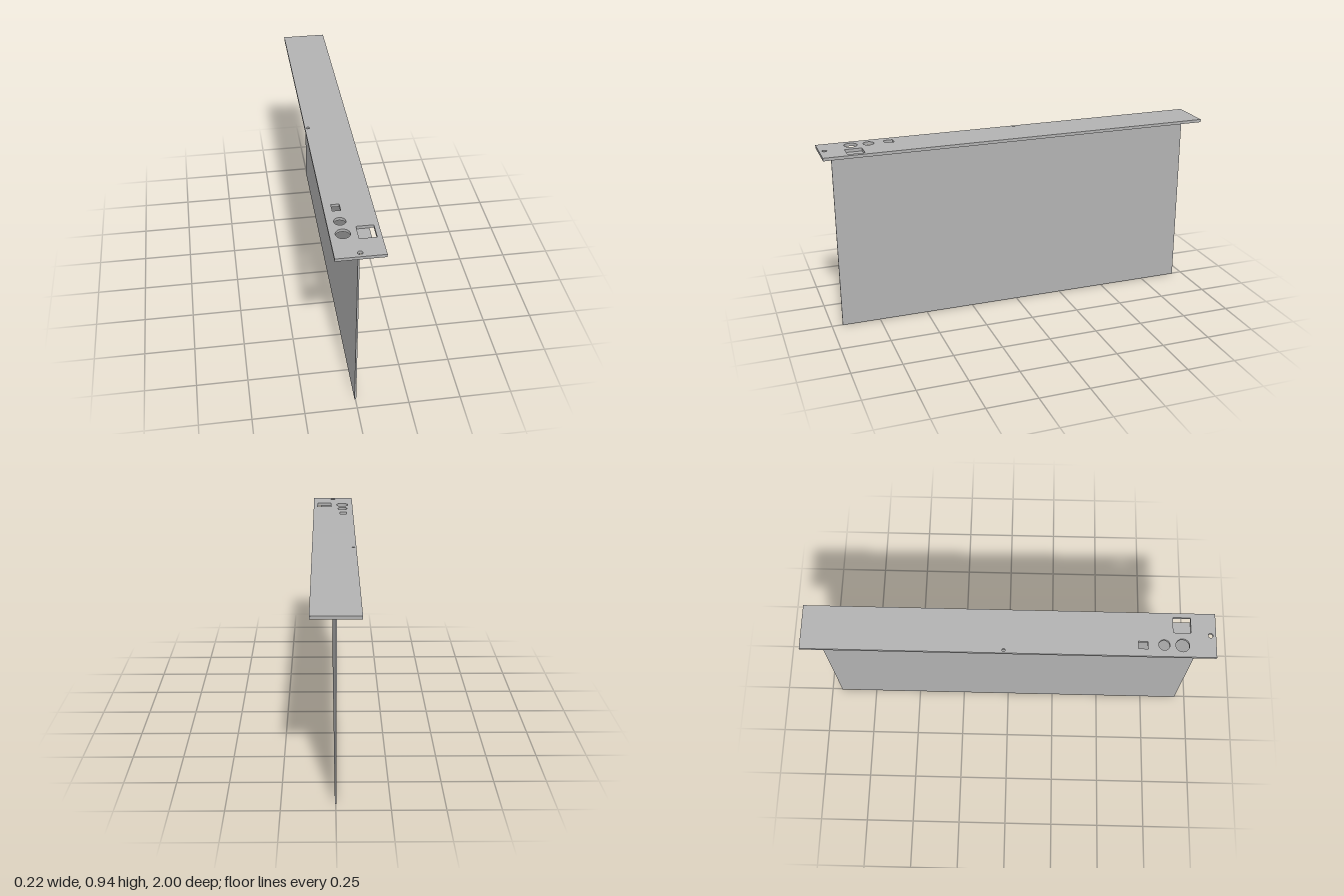
import * as THREE from 'three';

const TOP = 0.935, PLATE = 0.015, SHEET = 0.008;

// Shape from corner points
const polygon = (Type, points) => new Type(points.map(([x, y]) => new THREE.Vector2(x, y)));

const rectHole = (x0, x1, z0, z1) =>
  polygon(THREE.Path, [[x0, z0], [x0, z1], [x1, z1], [x1, z0]]);

const roundHole = (x, z, r) => {
  const path = new THREE.Path();
  path.absarc(x, z, r, 0, Math.PI * 2, true);
  return path;
};

export function createModel() {
  const group = new THREE.Group();
  const metal = new THREE.MeshStandardMaterial({ color: 0xb2b2b2 });
  metal.name = 'grey metal';

  const add = (name, geometry) => {
    const mesh = new THREE.Mesh(geometry, metal);
    mesh.name = name;
    group.add(mesh);
  };

  // Top plate with its through holes, drawn in x and z and extruded downwards
  const w = 0.1125;
  const plate = polygon(THREE.Shape, [[-w, -1], [w, -1], [w, 1], [-w, 1]]);
  plate.holes.push(
    rectHole(0.011, 0.09, 0.795, 0.88),
    rectHole(-0.075, -0.037, 0.625, 0.672),
    roundHole(-0.053, 0.838, 0.033),
    roundHole(-0.053, 0.75, 0.027),
    roundHole(0, 0.974, 0.012),
    roundHole(-0.097, -0.02, 0.008),
  );
  const plateGeometry = new THREE.ExtrudeGeometry(plate, { depth: PLATE, bevelEnabled: false, curveSegments: 24 });
  plateGeometry.rotateX(Math.PI / 2).translate(0, TOP, 0);
  add('topPlate', plateGeometry);

  // Hanging sheet folded into a flange under the plate
  const y = TOP - PLATE, h = SHEET / 2, length = 1.89;
  const profile = polygon(THREE.Shape, [
    [-h, 0], [h, 0], [h, y - SHEET], [0.071, y - SHEET], [0.071, y], [-h, y],
  ]);
  const sheet = new THREE.ExtrudeGeometry(profile, { depth: length, bevelEnabled: false });
  sheet.translate(0, 0, -length / 2);
  add('foldedSheet', sheet);

  return group;
}
